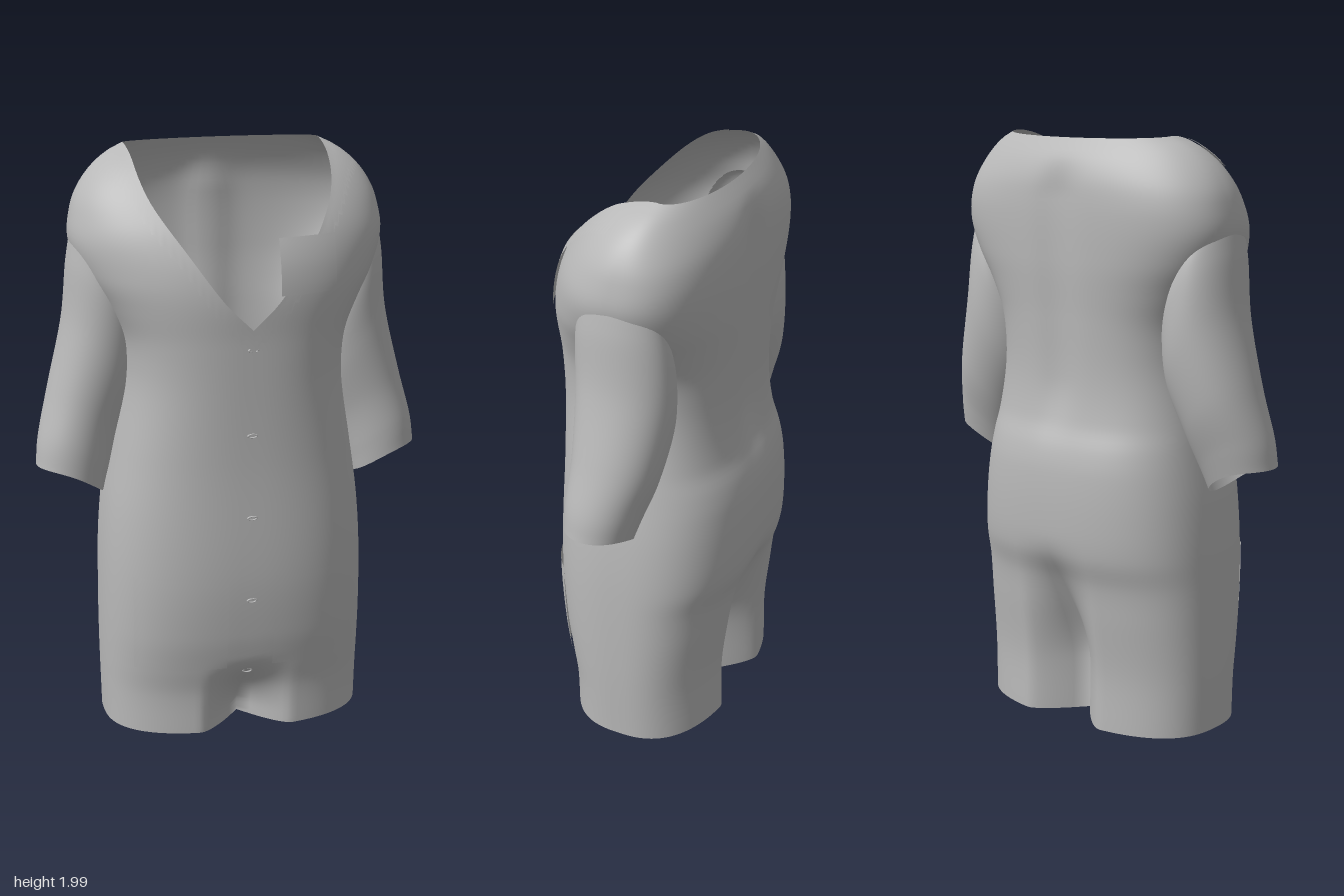
import * as THREE from 'three';
import { mergeVertices } from 'three/addons/utils/BufferGeometryUtils.js';

const cloth = new THREE.MeshStandardMaterial({ color: 0xb8b8b8, side: THREE.DoubleSide });
cloth.name = 'grey cloth';

// Smooth curve through [position, value] pairs
function curve(pts) {
  const slope = (i) => {
    const a = pts[Math.max(0, i - 1)], b = pts[Math.min(pts.length - 1, i + 1)];
    return (b[1] - a[1]) / (b[0] - a[0]);
  };
  return (s) => {
    let i = 0;
    while (i < pts.length - 2 && s > pts[i + 1][0]) i++;
    const [s0, v0] = pts[i], [s1, v1] = pts[i + 1], h = s1 - s0;
    const k = THREE.MathUtils.clamp((s - s0) / h, 0, 1), k2 = k * k, k3 = k2 * k;
    return v0 * (2 * k3 - 3 * k2 + 1) + slope(i) * h * (k3 - 2 * k2 + k)
      + v1 * (3 * k2 - 2 * k3) + slope(i + 1) * h * (k3 - k2);
  };
}

// Surface from f(u, v) -> [x, y, z]; skip(x, y, z) leaves a hole
function sheet(name, nu, nv, f, skip) {
  const pos = [], index = [];
  for (let j = 0; j <= nv; j++)
    for (let i = 0; i <= nu; i++) pos.push(...f(i / nu, j / nv));
  for (let j = 0; j < nv; j++)
    for (let i = 0; i < nu; i++) {
      const a = j * (nu + 1) + i, b = a + 1, c = a + nu + 1, d = c + 1;
      const mid = [0, 1, 2].map((k) => (pos[a * 3 + k] + pos[d * 3 + k]) / 2);
      if (skip && skip(...mid)) continue;
      index.push(a, b, d, a, d, c);
    }
  let geo = new THREE.BufferGeometry();
  geo.setAttribute('position', new THREE.Float32BufferAttribute(pos, 3));
  geo.setIndex(index);
  geo = mergeVertices(geo, 1e-5);
  geo.computeVertexNormals();
  const mesh = new THREE.Mesh(geo, cloth);
  mesh.name = name;
  return mesh;
}

// Torso profiles by height: half width, front depth, back depth, centre line
const halfWidth = curve([[0, 0.455], [0.3, 0.46], [0.6, 0.455], [0.8, 0.44], [1, 0.41], [1.2, 0.378],
  [1.3, 0.374], [1.4, 0.388], [1.5, 0.435], [1.6, 0.495], [1.7, 0.53], [1.8, 0.519], [1.86, 0.497],
  [1.92, 0.455], [1.97, 0.395], [2, 0.332]]);
const front = curve([[0, 0.275], [0.15, 0.278], [0.25, 0.296], [0.38, 0.319], [0.6, 0.335], [1, 0.328],
  [1.4, 0.337], [1.55, 0.345], [1.65, 0.335], [1.74, 0.303], [1.8, 0.268], [1.9, 0.19], [1.97, 0.12], [2, 0.07]]);
const back = curve([[0, -0.273], [0.2, -0.27], [0.4, -0.292], [0.52, -0.308], [0.62, -0.336], [0.75, -0.345],
  [0.9, -0.34], [0.98, -0.325], [1.06, -0.298], [1.2, -0.282], [1.4, -0.286], [1.6, -0.297],
  [1.83, -0.295], [1.92, -0.272], [2, -0.22]]);
const centre = curve([[0, 0], [1.5, 0], [1.65, -0.02], [1.8, -0.04], [1.9, -0.06], [2, -0.1]]);
const neckHalf = curve([[1.45, 0], [1.54, 0.09], [1.7, 0.205], [1.83, 0.29], [1.91, 0.32], [2, 0.332]]);
const fade = (y, lo, hi) => 1 - THREE.MathUtils.smoothstep(y, lo, hi);

// Squareness of the cross-section: boxy body, rounder shoulders
const squareness = (y, isFront) => (isFront ? 2 + 0.6 * fade(y, 1.35, 1.7) : 2 + 0.6 * fade(y, 1.75, 1.97));

// Depth of the fold between the legs and along the spine
function fold(x, y, isFront) {
  const w = Math.max(0, 1 - Math.abs(x) / 0.16) ** 1.3;
  if (isFront) return w * 0.152 * fade(y, 0.04, 0.29);
  const spine = 0.02 * Math.exp(-((x / 0.07) ** 2)) * (1 - fade(y, 0.95, 1.2)) * fade(y, 1.8, 1.95);
  return w * 0.152 * fade(y, 0.2, 0.68) + spine;
}

function torsoPoint(t, y, lift = 0) {
  const c = Math.cos(t), s = Math.sin(t), zc = centre(y), isFront = s >= 0;
  const pw = 2 / squareness(y, isFront);
  const x = (halfWidth(y) + lift) * Math.sign(c) * Math.abs(c) ** pw;
  const edge = (isFront ? front(y) : back(y)) - zc;
  let z = zc + edge * Math.abs(s) ** pw;
  z += (isFront ? -1 : 1) * fold(x, y, isFront) + (isFront ? lift : 0);
  return [x, y, z];
}

// Height of the neckline above each place round the torso
function neckTop(t) {
  if (Math.sin(t) < 1e-6) return 2 - 0.01 * Math.abs(Math.sin(t));
  let lo = 1.45, hi = 2;
  for (let i = 0; i < 30; i++) {
    const y = (lo + hi) / 2;
    if (Math.abs(torsoPoint(t, y)[0]) > neckHalf(y)) lo = y; else hi = y;
  }
  return lo;
}

// Front surface point for patches laid on the cloth
function frontPoint(x, y, lift) {
  const zc = centre(y), r = Math.min(1, Math.abs(x) / halfWidth(y)), n = squareness(y, true);
  return [x, y, zc + (front(y) - zc) * (1 - r ** n) ** (1 / n) - fold(x, y, true) + lift];
}

function patch(name, x0, x1, y0, y1) {
  return sheet(name, 14, 14, (u, v) => frontPoint(x0 + (x1 - x0) * u, y0 + (y1 - y0) * v, 0.009));
}

// Where the sleeve lies well inside the torso, it is left open
function insideTorso(x, y, z) {
  if (y < 1.2) return false;
  const zc = centre(y), isFront = z > zc, n = squareness(y, isFront);
  const depth = (isFront ? front(y) : back(y)) - zc;
  return (Math.abs(x) / halfWidth(y)) ** n + ((z - zc) / depth) ** n < 0.88;
}

// Sleeve rings: outer x, y, inner x, y, front z, back z
const rings = [
  [0.44, 1.82, 0.3, 1.42, 0.08, -0.14], [0.507, 1.77, 0.3, 1.36, 0.115, -0.175],
  [0.538, 1.64, 0.3, 1.28, 0.13, -0.202], [0.56, 1.43, 0.325, 1.16, 0.122, -0.208],
  [0.615, 1.2, 0.385, 1.02, 0.11, -0.18], [0.655, 1.04, 0.425, 0.9, 0.115, -0.135],
  [0.667, 0.945, 0.442, 0.84, 0.115, -0.11]];
const ringCurves = rings[0].map((_, k) => curve(rings.map((r, i) => [i, r[k]])));

function sleeve(name, side) {
  return sheet(name, 64, 60, (u, v) => {
    const [xo, yo, xi, yi, zf, zb] = ringCurves.map((f) => f(v * (rings.length - 1)));
    const t = side * u * Math.PI * 2, k = (1 - Math.cos(t)) / 2;
    const x = xo + (xi - xo) * k, y = yo + (yi - yo) * k ** (1 + 1.2 * v);
    return [side * x, y, (zf + zb) / 2 + ((zf - zb) / 2) * Math.sin(t)];
  }, insideTorso);
}

export function createModel() {
  const coat = new THREE.Group();
  coat.name = 'coat';

  // Body shell with open hem, neckline and armholes
  const armhole = (x, y, z) => Math.abs(x) > 0.33 && ((y - 1.44) / 0.2) ** 2 + ((z + 0.04) / 0.1) ** 2 < 1;
  coat.add(sheet('body', 160, 100, (u, v) => {
    const t = -u * Math.PI * 2;
    return torsoPoint(t, 0.008 + (neckTop(t) - 0.008) * v);
  }, armhole));

  coat.add(sleeve('leftSleeve', 1), sleeve('rightSleeve', -1));

  // Neck facing with a ragged lower edge
  const teeth = 90;
  coat.add(sheet('neckFacing', teeth, 5, (u, v) => {
    const t = Math.PI * (0.9 - 0.8 * u);
    const width = 0.06 + 0.02 * (Math.round(u * teeth) % 2);
    return torsoPoint(t, neckTop(t) - width * (1 - v), 0.007);
  }));

  // Patch pockets
  coat.add(patch('leftPocket', 0.08, 0.38, 0.26, 0.6));
  coat.add(patch('rightPocket', -0.385, -0.08, 0.26, 0.6));
  coat.add(patch('breastPocket', 0.09, 0.29, 1.56, 1.74));

  // Row of buttonhole loops down the front
  for (const y of [1.385, 1.095, 0.81, 0.515, 0.23]) {
    const loop = new THREE.Mesh(new THREE.TorusGeometry(0.015, 0.004, 6, 16), cloth);
    loop.name = 'buttonhole';
    loop.scale.set(1, 0.4, 1);
    loop.position.set(...frontPoint(0, y, 0.002));
    coat.add(loop);
  }
  return coat;
}
